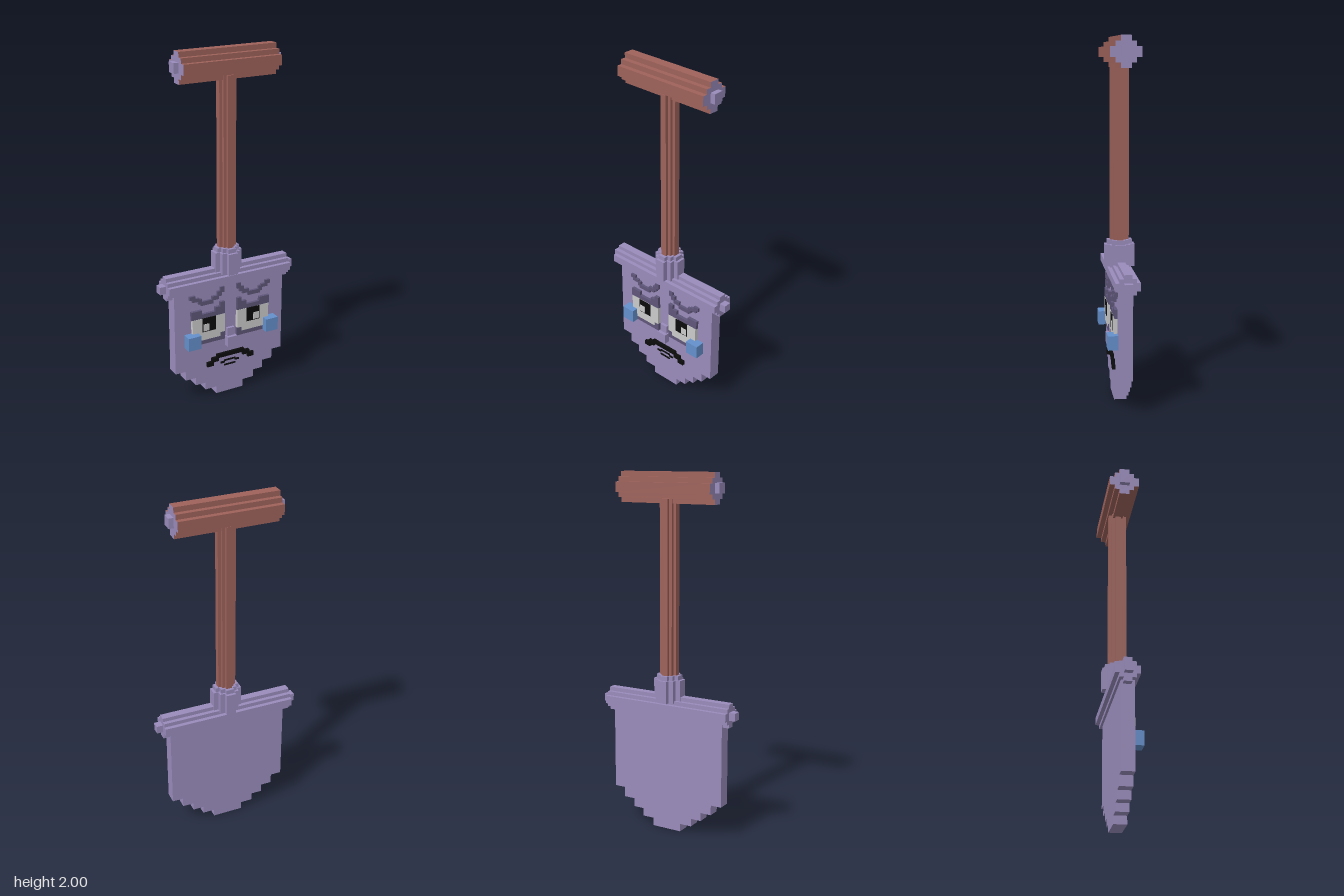
import * as THREE from 'three';

const mat = (name, color) => {
  const m = new THREE.MeshStandardMaterial({ color });
  m.name = name;
  return m;
};

export function createModel() {
  const root = new THREE.Group();
  root.name = 'shovel';
  const purple = mat('purple', 0x9a8cbc);
  const darkPurple = mat('darkPurple', 0x5f5679);
  const brown = mat('brown', 0x9e625a);
  const blue = mat('blue', 0x6490cc);
  const white = mat('eyeWhite', 0xcbcbcb);
  const black = mat('black', 0x0c0c0c);

  // Box given by its limits on each axis
  const box = (parent, name, m, x0, x1, y0, y1, z0, z1) => {
    const mesh = new THREE.Mesh(new THREE.BoxGeometry(x1 - x0, y1 - y0, z1 - z0), m);
    mesh.position.set((x0 + x1) / 2, (y0 + y1) / 2, (z0 + z1) / 2);
    mesh.name = name;
    parent.add(mesh);
    return mesh;
  };

  // Bar with a stepped round cross-section of half-widths a > b > c
  const steppedBar = (name, a, b, c, length, ends, sides) => {
    const quarter = [[a, -c], [a, c], [b, c], [b, b], [c, b], [c, a]];
    const pts = [];
    for (let i = 0; i < 4; i++) {
      for (const [x, y] of quarter.slice(1)) {
        const p = new THREE.Vector2(x, y).rotateAround(new THREE.Vector2(), i * Math.PI / 2);
        pts.push(p);
      }
    }
    const geo = new THREE.ExtrudeGeometry(new THREE.Shape(pts), { depth: length, bevelEnabled: false });
    geo.translate(0, 0, -length / 2);
    const mesh = new THREE.Mesh(geo, [ends, sides]);
    mesh.name = name;
    root.add(mesh);
    return mesh;
  };
  const lying = (mesh, y) => { mesh.rotation.y = Math.PI / 2; mesh.position.set(0, y, -0.007); };
  const upright = (mesh, y) => { mesh.rotation.x = Math.PI / 2; mesh.position.set(0, y, -0.006); };

  // Grip, shaft, collar and crossbar
  lying(steppedBar('grip', 0.083, 0.055, 0.028, 0.576, purple, brown), 1.918);
  box(root, 'gripPin', purple, -0.315, 0.315, 1.893, 1.947, -0.035, 0.021);
  upright(steppedBar('shaft', 0.051, 0.034, 0.017, 0.99, brown, brown), 1.365);
  upright(steppedBar('collar', 0.083, 0.056, 0.028, 0.125, purple, purple), 0.8125);
  upright(steppedBar('collarRim', 0.068, 0.046, 0.023, 0.15, purple, purple), 0.825);
  lying(steppedBar('crossbar', 0.066, 0.044, 0.022, 0.77, purple, purple), 0.717);
  box(root, 'crossbarPin', purple, -0.421, 0.421, 0.695, 0.739, -0.029, 0.015);

  // Blade with a stepped tip, drawn as one outline
  const steps = [[0.088, 0, 0.045], [0.158, 0.045, 0.09], [0.22, 0.09, 0.138],
    [0.284, 0.138, 0.195], [0.347, 0.195, 0.72]];
  const rightSide = steps.flatMap(([x, y0, y1]) => [[x, y0], [x, y1]]);
  const leftSide = rightSide.map(([x, y]) => [-x, y]).reverse();
  const outline = [...rightSide, ...leftSide].map(([x, y]) => new THREE.Vector2(x, y));
  const blade = new THREE.Mesh(
    new THREE.ExtrudeGeometry(new THREE.Shape(outline), { depth: 0.071, bevelEnabled: false }), purple);
  blade.position.z = -0.038;
  blade.name = 'blade';
  root.add(blade);

  // Face details, mirrored on both sides: [x0, x1, y0, y1] on the +x half
  const face = new THREE.Group();
  face.name = 'face';
  root.add(face);
  const Z = 0.03;
  const pair = (name, m, depth, rects) => {
    for (const [x0, x1, y0, y1] of rects) {
      box(face, name, m, x0, x1, y0, y1, Z, depth);
      box(face, name, m, -x1, -x0, y0, y1, Z, depth);
    }
  };
  pair('eyebrow', darkPurple, 0.047, [
    [0.04, 0.066, 0.645, 0.678], [0.056, 0.084, 0.625, 0.655], [0.076, 0.118, 0.608, 0.632],
    [0.112, 0.19, 0.59, 0.614], [0.182, 0.205, 0.602, 0.632],
    [0.198, 0.242, 0.62, 0.64], [0.224, 0.258, 0.636, 0.658]]);
  pair('upperLid', darkPurple, 0.05, [
    [0.04, 0.25, 0.513, 0.538], [0.185, 0.25, 0.538, 0.563],
    [0.04, 0.1, 0.538, 0.563], [0.04, 0.069, 0.563, 0.588]]);
  pair('lowerLid', darkPurple, 0.05, [[0.069, 0.212, 0.353, 0.378], [0.04, 0.069, 0.353, 0.402]]);
  pair('eyeWhite', white, 0.052, [[0.069, 0.245, 0.378, 0.513], [0.04, 0.069, 0.402, 0.513]]);
  pair('pupil', black, 0.055, [[0.1, 0.185, 0.43, 0.513]]);
  pair('eyeGlint', white, 0.057, [[0.143, 0.18, 0.435, 0.477]]);
  pair('tear', blue, 0.089, [[0.21, 0.289, 0.35, 0.429]]);

  // Nose
  box(face, 'noseBridge', purple, -0.023, 0.023, 0.36, 0.413, Z, 0.05);
  box(face, 'noseTip', purple, -0.03, 0.03, 0.303, 0.364, Z, 0.068);

  // Frowning mouth and the thin lip line beneath
  box(face, 'mouth', black, -0.088, 0.088, 0.237, 0.26, Z, 0.05);
  pair('mouthCorner', black, 0.05, [[0.08, 0.122, 0.218, 0.244], [0.112, 0.152, 0.196, 0.222]]);
  box(face, 'lip', black, -0.036, 0.036, 0.2, 0.209, Z, 0.038);
  pair('lipCorner', black, 0.038, [[0.034, 0.06, 0.19, 0.201]]);
  box(face, 'chinLine', black, -0.036, 0.036, 0.171, 0.18, Z, 0.038);

  return root;
}
